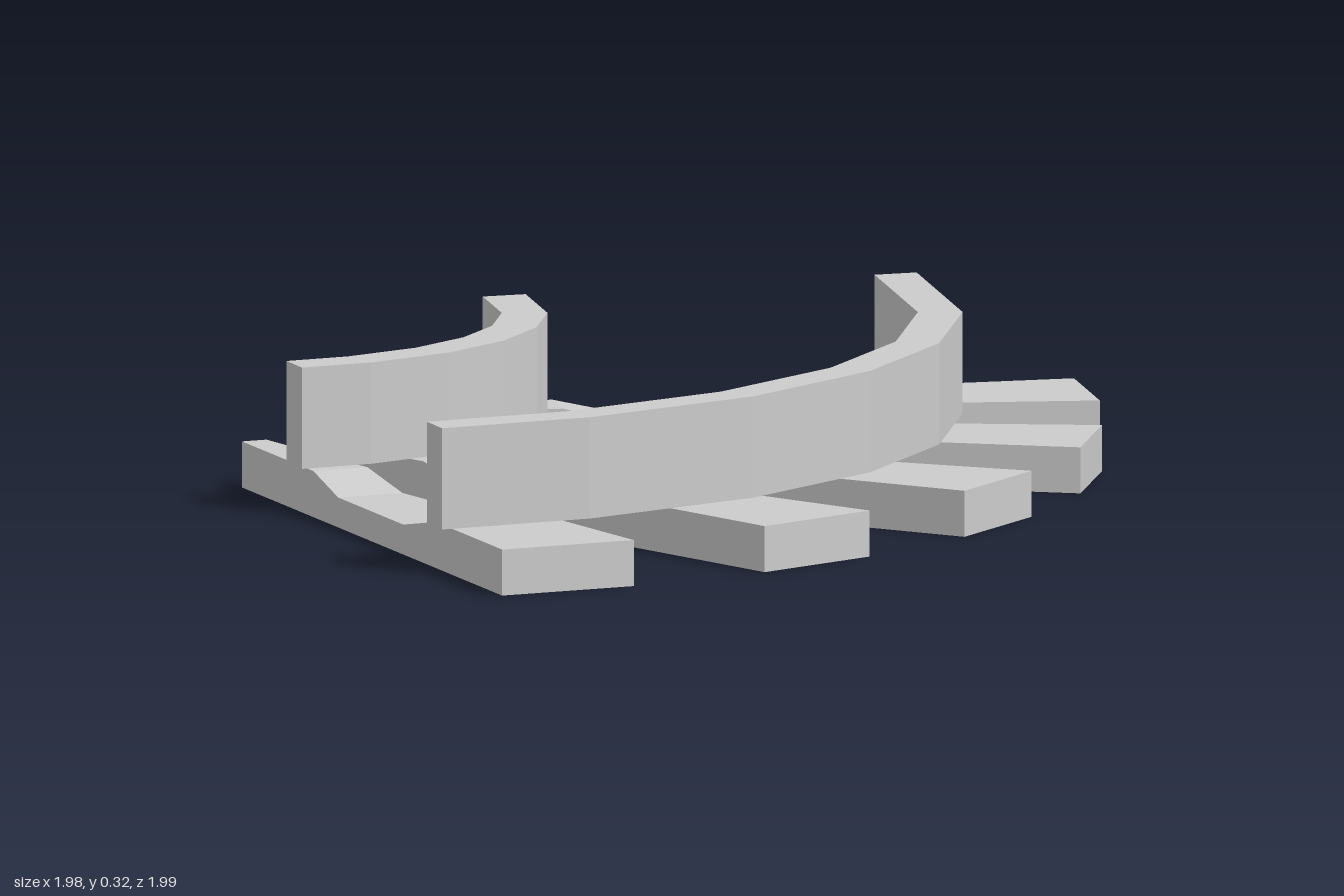
import * as THREE from 'three';

const material = new THREE.MeshStandardMaterial({ color: 0xcccccc, flatShading: true });
const rad = THREE.MathUtils.degToRad;

// Centre of the quarter turn
const CENTRE_X = -0.99, CENTRE_Z = -1;
const RAIL_ANGLES = [0, 19, 33.8, 47.8, 62.5, 78, 90].map(rad);

// Faceted quarter-ring rail between two radii
function makeRail(name, inner, outer) {
  const at = (r) => (a) => new THREE.Vector2(r * Math.cos(a), r * Math.sin(a));
  const outline = [...RAIL_ANGLES.map(at(outer)), ...RAIL_ANGLES.map(at(inner)).reverse()];
  const geometry = new THREE.ExtrudeGeometry(new THREE.Shape(outline), { depth: 0.22, bevelEnabled: false });
  geometry.rotateX(Math.PI / 2).translate(0, 0.32, 0);
  const rail = new THREE.Mesh(geometry, material);
  rail.name = name;
  return rail;
}

// Wedge-shaped sleeper: dished side profile, widening toward the outside
function makeSleeperGeometry() {
  const start = 0.392, length = 1.592, top = 0.1, dip = 0.065;
  const profile = [[0, 0], [1, 0], [1, top], [0.745, top], [0.62, dip], [0.37, dip], [0.275, top], [0, top]];
  const shape = new THREE.Shape(profile.map(([t, y]) => new THREE.Vector2(start + t * length, y)));
  const geometry = new THREE.ExtrudeGeometry(shape, { depth: 1, bevelEnabled: false });
  geometry.translate(0, 0, -0.5);
  const p = geometry.attributes.position;
  for (let i = 0; i < p.count; i++) {
    const t = (p.getX(i) - start) / length;
    p.setZ(i, p.getZ(i) * THREE.MathUtils.lerp(0.058, 0.312, t));
  }
  geometry.computeVertexNormals();
  return geometry;
}

export function createModel() {
  const track = new THREE.Group();
  track.name = 'curvedTrack';
  track.position.set(CENTRE_X, 0, CENTRE_Z);

  // Rails
  track.add(makeRail('innerRail', 0.697, 0.795), makeRail('outerRail', 1.59, 1.686));

  // Sleepers fanned around the turn
  const sleeperGeometry = makeSleeperGeometry();
  for (let i = 0; i < 5; i++) {
    const sleeper = new THREE.Mesh(sleeperGeometry, material);
    sleeper.name = `sleeper${i + 1}`;
    sleeper.rotation.y = -rad(9.5 + 18.8 * i);
    track.add(sleeper);
  }

  const model = new THREE.Group();
  model.name = 'trackCurve';
  model.add(track);
  return model;
}
